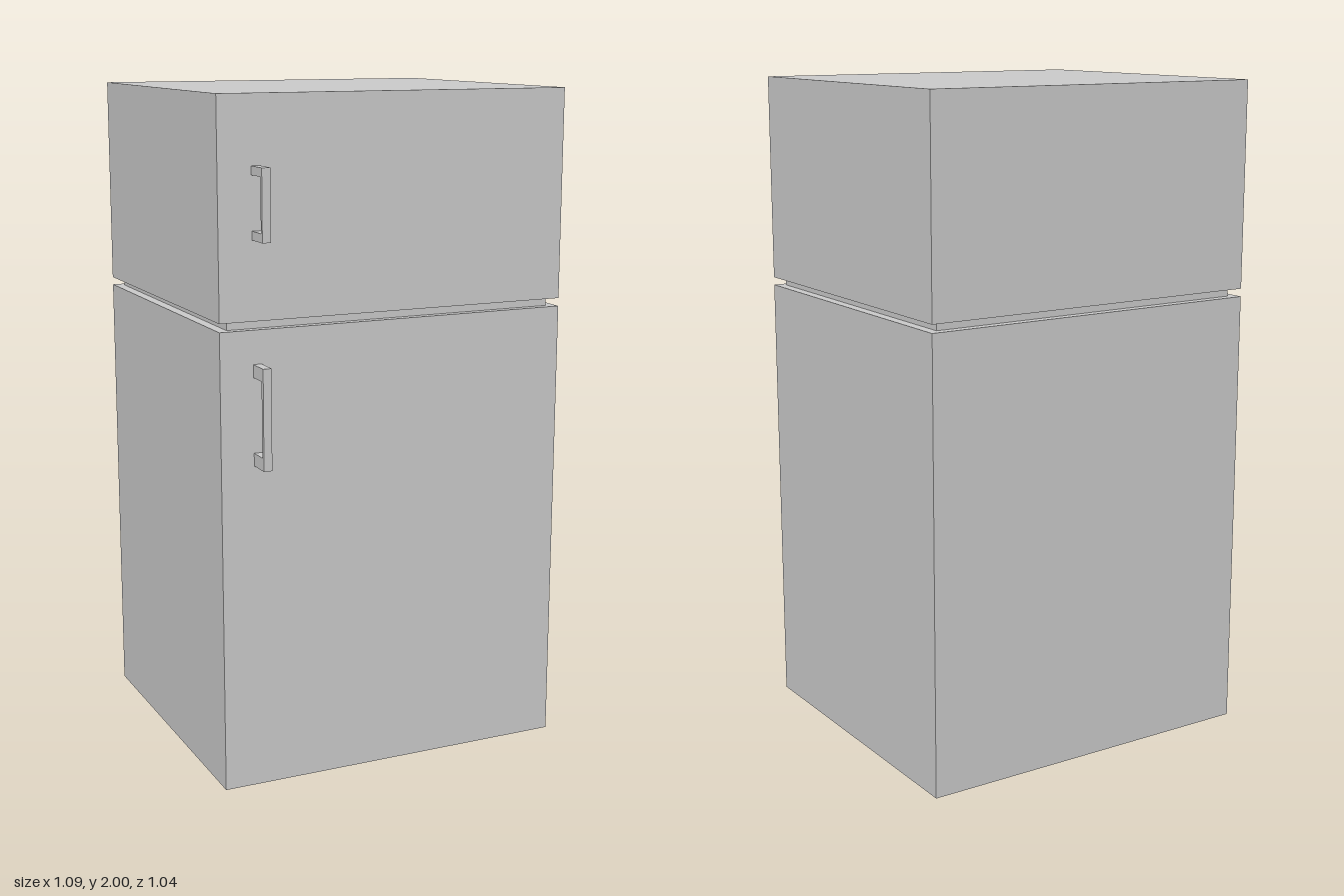
import * as THREE from 'three';

const material = new THREE.MeshStandardMaterial({ color: 0xcccccc, flatShading: true });

// Box given by its min and max on each axis
function box(name, [x0, x1], [y0, y1], [z0, z1]) {
  const mesh = new THREE.Mesh(new THREE.BoxGeometry(x1 - x0, y1 - y0, z1 - z0), material);
  mesh.name = name;
  mesh.position.set((x0 + x1) / 2, (y0 + y1) / 2, (z0 + z1) / 2);
  return mesh;
}

// C-shaped pull handle, extruded across its width
function handle(name, y0, y1, zFront, grip, post) {
  const zDoor = 0.447, x0 = -0.444, width = 0.025;
  const shape = new THREE.Shape([
    [zDoor, y0], [zFront, y0], [zFront, y1], [zDoor, y1],
    [zDoor, y1 - post], [zFront - grip, y1 - post],
    [zFront - grip, y0 + post], [zDoor, y0 + post],
  ].map(([z, y]) => new THREE.Vector2(-z, y)));
  const geometry = new THREE.ExtrudeGeometry(shape, { depth: width, bevelEnabled: false });
  geometry.rotateY(Math.PI / 2); // shape x becomes -z, depth becomes +x
  const mesh = new THREE.Mesh(geometry, material);
  mesh.name = name;
  mesh.position.x = x0;
  return mesh;
}

export function createModel() {
  const group = new THREE.Group();
  group.name = 'refrigerator';
  const x = [-0.543, 0.543], z = [-0.522, 0.447];
  group.add(
    box('fridgeCompartment', x, [0, 1.355], z),
    box('recessedSeam', [-0.513, 0.513], [1.355, 1.379], [-0.495, 0.423]),
    box('freezerCompartment', x, [1.379, 2], z),
    handle('freezerHandle', 1.604, 1.806, 0.522, 0.01, 0.025),
    handle('fridgeHandle', 0.967, 1.258, 0.519, 0.012, 0.037),
  );
  return group;
}
